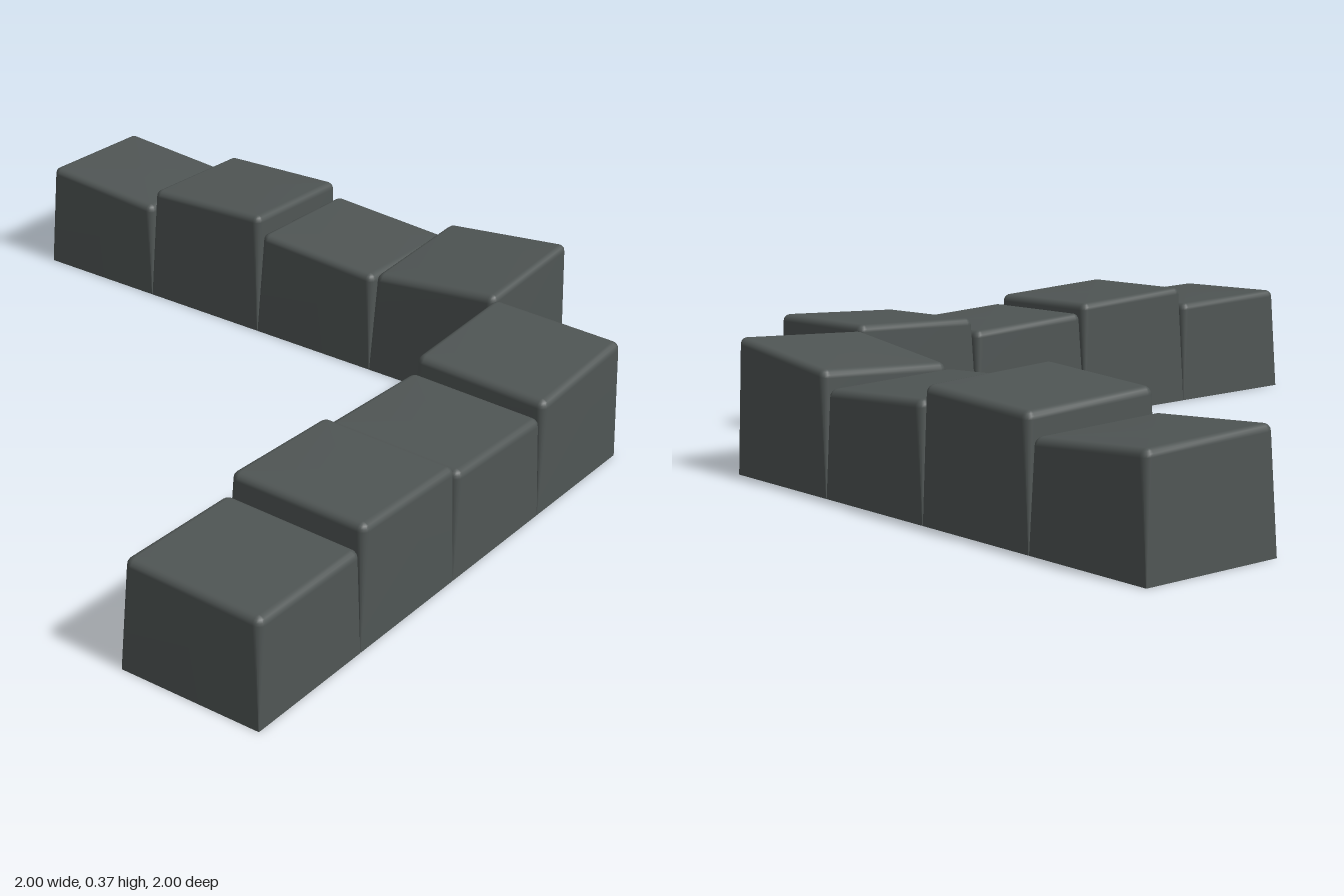
import * as THREE from 'three';

const HALF = 0.2, BEVEL = 0.02, ARC = 4;

// Open-bottomed block with rounded edges and a sloping top.
// Corner heights: [back left, back right, front left, front right], by x then z.
function blockGeometry([bl, br, fl, fr]) {
  const topAt = (x, z) => {
    const u = (x + HALF) / (2 * HALF), v = (z + HALF) / (2 * HALF);
    return (bl * (1 - u) + br * u) * (1 - v) + (fl * (1 - u) + fr * u) * v;
  };
  // Cross-sections: inset, corner radius, drop below the top (null = on the ground)
  const rings = [{ inset: 0, r: 0.002, drop: null }];
  for (let k = 0; k <= ARC; k++) {
    const t = (k / ARC) * Math.PI / 2;
    const bend = BEVEL * (1 - Math.cos(t));
    rings.push({ inset: 0.005 + bend, r: 0.022 - bend, drop: BEVEL * (1 - Math.sin(t)) });
  }
  const pos = [], index = [], n = 4 * (ARC + 1);
  for (const { inset, r, drop } of rings) {
    for (let c = 0; c < 4; c++) {
      for (let k = 0; k <= ARC; k++) {
        const mid = (c + 0.5) * Math.PI / 2, a = (c + k / ARC) * Math.PI / 2;
        const d = HALF - inset - r;
        const x = Math.sign(Math.cos(mid)) * d + r * Math.cos(a);
        const z = Math.sign(Math.sin(mid)) * d + r * Math.sin(a);
        pos.push(x, drop === null ? 0 : topAt(x, z) - drop, z);
      }
    }
  }
  for (let j = 0; j < rings.length - 1; j++) {
    for (let i = 0; i < n; i++) {
      const a = j * n + i, b = j * n + (i + 1) % n;
      index.push(a, a + n, b, b, a + n, b + n);
    }
  }
  // Top face
  const last = (rings.length - 1) * n, centre = pos.length / 3;
  pos.push(0, topAt(0, 0), 0);
  for (let i = 0; i < n; i++) index.push(centre, last + (i + 1) % n, last + i);

  const g = new THREE.BufferGeometry();
  g.setAttribute('position', new THREE.Float32BufferAttribute(pos, 3));
  g.setIndex(index);
  g.computeVertexNormals();
  return g;
}

export function createModel() {
  const stone = new THREE.MeshStandardMaterial({ color: 0x4f5554, side: THREE.DoubleSide });
  stone.name = 'dark stone';

  // Corner heights of each block along the two rows
  const backRow = [
    [0.305, 0.275, 0.315, 0.285],
    [0.33, 0.345, 0.345, 0.362],
    [0.305, 0.28, 0.315, 0.29],
    [0.325, 0.37, 0.3, 0.345],
  ];
  const sideRow = [
    [0.355, 0.345, 0.335, 0.32],
    [0.295, 0.285, 0.31, 0.3],
    [0.335, 0.325, 0.35, 0.34],
    [0.297, 0.285, 0.305, 0.29],
  ];

  const model = new THREE.Group();
  model.name = 'cornerKerb';
  const addRow = (name, row, place) => {
    const group = new THREE.Group();
    group.name = name;
    row.forEach((heights, i) => {
      const block = new THREE.Mesh(blockGeometry(heights), stone);
      block.name = `${name}Block${i + 1}`;
      place(block.position, i);
      group.add(block);
    });
    model.add(group);
  };
  addRow('backRow', backRow, (p, i) => p.set(-0.8 + 0.4 * i, 0, -0.8));
  addRow('sideRow', sideRow, (p, i) => p.set(0.8, 0, -0.4 + 0.4 * i));
  return model;
}
